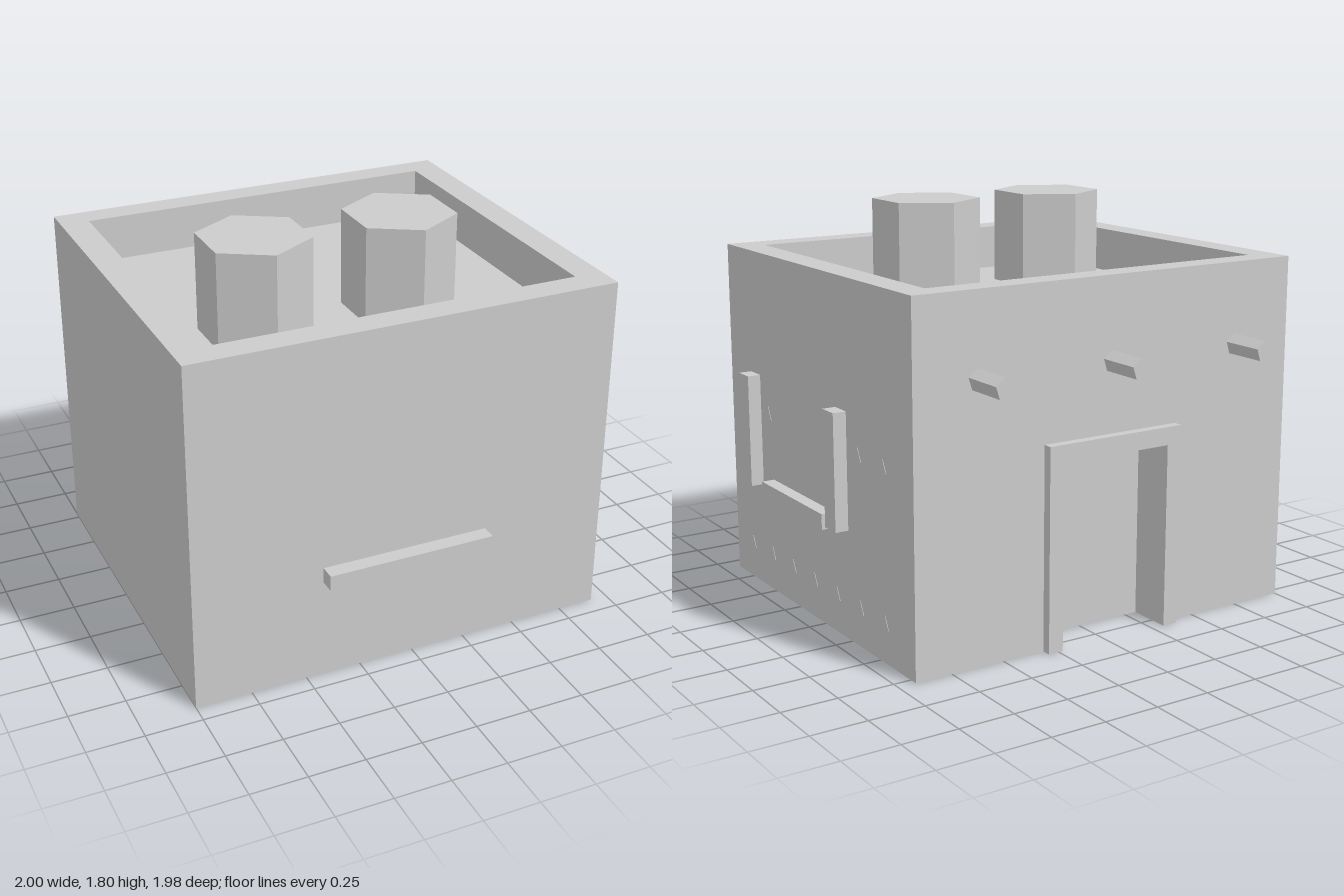
import * as THREE from 'three';

export function createModel() {
  const model = new THREE.Group();
  const plaster = new THREE.MeshStandardMaterial({ color: 0xcccccc });
  plaster.name = 'plaster grey';

  const add = (name, geometry, x = 0, y = 0, z = 0) => {
    const mesh = new THREE.Mesh(geometry, plaster);
    mesh.name = name;
    mesh.position.set(x, y, z);
    model.add(mesh);
  };
  // box given by its lower and upper corners
  const box = (name, [x0, y0, z0], [x1, y1, z1]) =>
    add(name, new THREE.BoxGeometry(x1 - x0, y1 - y0, z1 - z0), (x0 + x1) / 2, (y0 + y1) / 2, (z0 + z1) / 2);
  const points = (list) => list.map(([a, b]) => new THREE.Vector2(a, b));
  const extrude = (shape, depth) => new THREE.ExtrudeGeometry(shape, { depth, bevelEnabled: false });
  // footprint given as [x, z], raised from y0 to y1
  const layer = (name, outline, y0, y1, hole) => {
    const flip = (list) => points(list.map(([x, z]) => [x, -z]));
    const shape = new THREE.Shape(flip(outline));
    if (hole) shape.holes.push(new THREE.Path(flip(hole)));
    add(name, extrude(shape, y1 - y0).rotateX(-Math.PI / 2), 0, y0, 0);
  };
  const rect = (x0, x1, z0, z1) => [[x0, z1], [x1, z1], [x1, z0], [x0, z0]];

  // walls: doorway storey, solid middle and roof parapet
  const L = -1, R = 0.92, B = -0.79, F = 0.915;
  const doorL = -0.31, doorR = 0.23, doorTop = 0.82, roof = 1.37, top = 1.575;
  layer('lowerWalls', [[L, F], [R, F], [R, B], [doorR, B], [doorR, -0.63], [doorL, -0.63], [doorL, B], [L, B]], 0, doorTop);
  layer('upperWalls', rect(L, R, B, F), doorTop, roof);
  layer('roofParapet', rect(L, R, B, F), roof, top, rect(-0.87, 0.79, -0.67, 0.79));

  // door surround on the back
  const surround = new THREE.Shape(points([
    [-0.38, 0], [doorL, 0], [doorL, doorTop], [doorR, doorTop],
    [doorR, 0], [0.3, 0], [0.3, 0.9], [-0.38, 0.9]]));
  add('doorSurround', extrude(surround, 0.042), 0, 0, -0.832);

  // six-sided roof vents
  for (const x of [-0.467, 0.195]) {
    const vent = new THREE.CylinderGeometry(0.245, 0.245, 1.8 - roof, 6).toNonIndexed();
    vent.computeVertexNormals();
    add('roofVent', vent, x, (1.8 + roof) / 2, 0.327);
  }

  // five-sided beam ends above the door
  for (const x of [-0.703, -0.04, 0.62]) {
    const beam = new THREE.CylinderGeometry(0.047, 0.047, 0.2, 5).rotateX(-Math.PI / 2).toNonIndexed();
    beam.computeVertexNormals();
    add('beamEnd', beam, x, 1.211, -0.89);
  }

  // sills and shutters
  box('frontSill', [-0.42, 0.46, F], [0.34, 0.53, 0.985]);
  box('sideSill', [R, 0.47, -0.105], [0.98, 0.54, 0.49]);
  for (const z of [0.56, -0.272]) box('shutter', [0.94, 0.505, z], [1, 1.02, z + 0.095]);

  // small flush triangular chips on the side wall
  const chip = extrude(new THREE.Shape(points([[-0.81, 0.13], [-0.71, 0.15], [-0.74, 0.21]])), 0.002)
    .rotateY(Math.PI / 2);
  for (let i = 0; i < 7; i++) {
    add('lowerChip', chip, R, 0, -0.214 * i);
    if (i !== 2 && i !== 3) add('upperChip', chip, R, 0.667, -0.214 * i);
  }
  return model;
}
